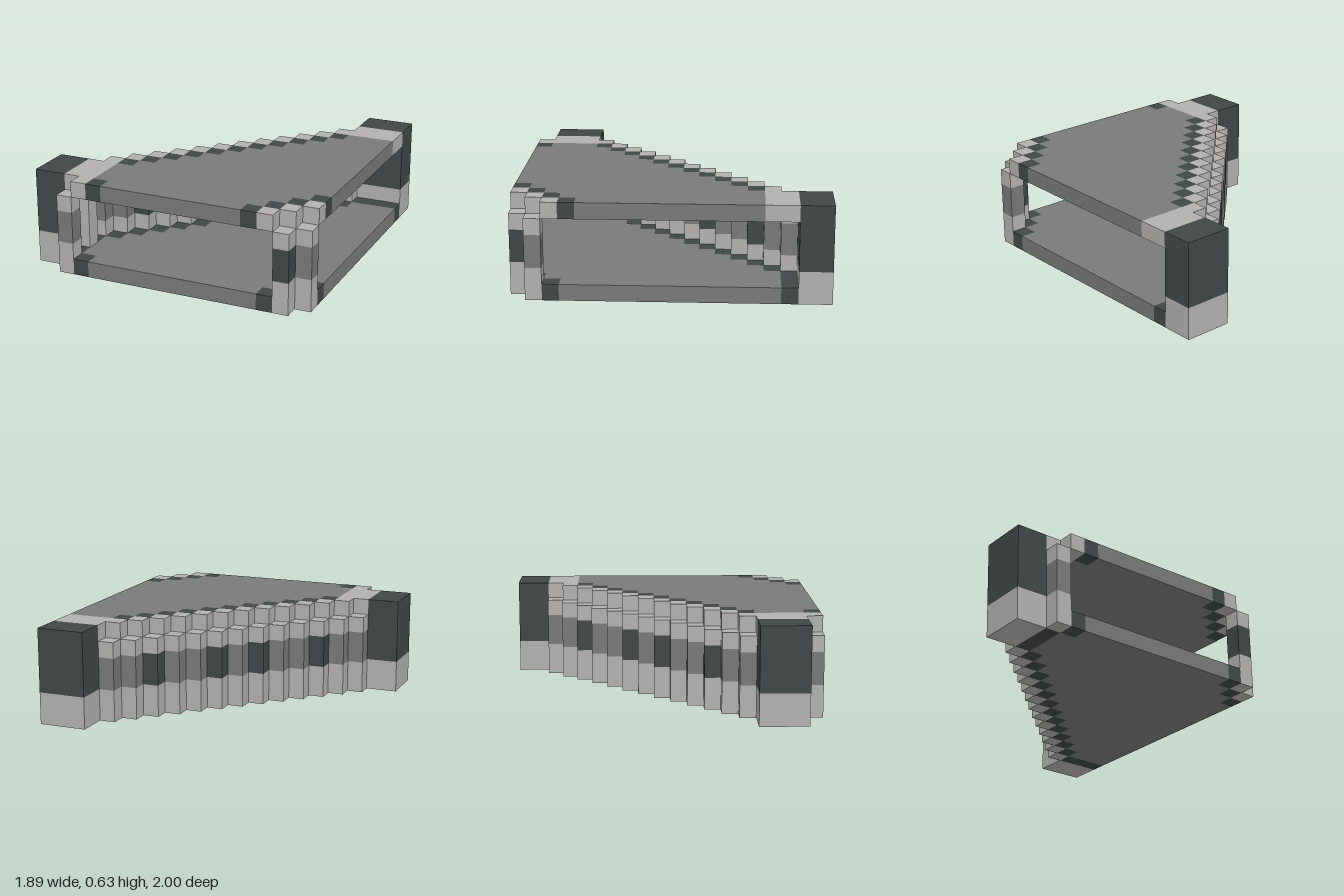
import * as THREE from 'three';

const U = 2 / 19; // one block

const mat = (name, color) => {
  const m = new THREE.MeshStandardMaterial({ color });
  m.name = name;
  return m;
};

export function createModel() {
  const light = mat('light stone', 0xb3b1af);
  const grey = mat('grey stone', 0x797979);
  const dark = mat('dark stone', 0x404747);

  const model = new THREE.Group();
  model.name = 'stepped building storey';

  // Box from block column i, row j, layer k, sized in blocks
  function block(name, material, i, j, k, w = 1, h = 1, d = 1) {
    const geo = new THREE.BoxGeometry(w * U, h * U, d * U);
    geo.translate((i + w / 2 - 9) * U, (j + h / 2) * U, (k + d / 2 - 9.5) * U);
    const mesh = new THREE.Mesh(geo, material);
    mesh.name = name;
    model.add(mesh);
  }

  // One-block-thick slab with a stepped outline; lo and hi give its ends in each layer
  function slab(name, material, j, k0, lo, hi) {
    const pts = [];
    const add = (i, k) => pts.push(new THREE.Vector2((i - 9) * U, (k - 9.5) * U));
    for (let k = k0; k < 19; k++) { add(lo(k), k); add(lo(k), k + 1); }
    for (let k = 18; k >= k0; k--) { add(hi(k) + 1, k + 1); add(hi(k) + 1, k); }
    const clean = pts.filter((p, n) => !p.equals(pts[(n + 1) % pts.length]));
    const geo = new THREE.ExtrudeGeometry(new THREE.Shape(clean), { depth: U, bevelEnabled: false });
    geo.rotateX(Math.PI / 2).translate(0, (j + 1) * U, 0);
    const mesh = new THREE.Mesh(geo, material);
    mesh.name = name;
    model.add(mesh);
  }

  // Wall column, five blocks high, with a two-block middle
  function column(i, k, middle) {
    block('columnBase', light, i, 0, k, 1, 2, 1);
    block('columnMiddle', middle, i, 2, k, 1, 2, 1);
    block('columnTop', light, i, 4, k);
  }

  // Corner posts
  block('leftPostBase', light, 0, 0, 15, 2, 2, 3);
  block('leftPost', dark, 0, 2, 15, 2, 4, 3);
  block('backPostBase', light, 15, 0, 0, 3, 2, 2);
  block('backPost', dark, 15, 2, 0, 3, 4, 2);

  // Diagonal stepped wall
  for (let i = 2; i <= 14; i++) column(i, 16 - i, [4, 7, 9, 12].includes(i) ? dark : grey);

  // Front columns and the pier beside the left post
  column(2, 18, grey);
  column(16, 18, dark);
  column(17, 17, grey);
  block('innerPier', light, 2, 1, 16, 1, 4, 1);

  // Floor with dark edging
  slab('floor', grey, 0, 3,
    k => (k === 18 ? 4 : Math.max(18 - k, 3)),
    k => Math.min(17, 32 - k));
  for (let i = 3; i <= 14; i++) block('floorEdge', dark, i, 0, 17 - i);
  block('floorBackEdge', dark, 15, 0, 2, 3, 1, 1);
  block('floorLeftEdge', dark, 2, 0, 15, 1, 1, 3);
  block('floorCorner', dark, 3, 0, 18);
  for (let i = 15; i <= 17; i++) block('floorFrontEdge', dark, i, 0, 33 - i);

  // Roof with dark edging and a light rim
  slab('roof', grey, 5, 4,
    k => (k === 18 ? 5 : Math.max(19 - k, 4)),
    k => Math.min(17, 31 - k));
  for (let i = 4; i <= 14; i++) block('roofEdge', dark, i, 5, 18 - i);
  block('roofCorner', dark, 4, 5, 18);
  for (let i = 14; i <= 17; i++) block('roofFrontEdge', dark, i, 5, 32 - i);
  for (let i = 3; i <= 14; i++) block('roofRim', light, i, 5, 17 - i);
  for (let i = 15; i <= 17; i++) block('roofFrontRim', light, i, 5, 33 - i);
  block('roofBackRim', light, 15, 5, 2, 3, 1, 2);
  block('roofLeftRim', light, 2, 5, 15, 2, 1, 3);
  block('roofLeftRimEnd', light, 3, 5, 18);

  return model;
}
